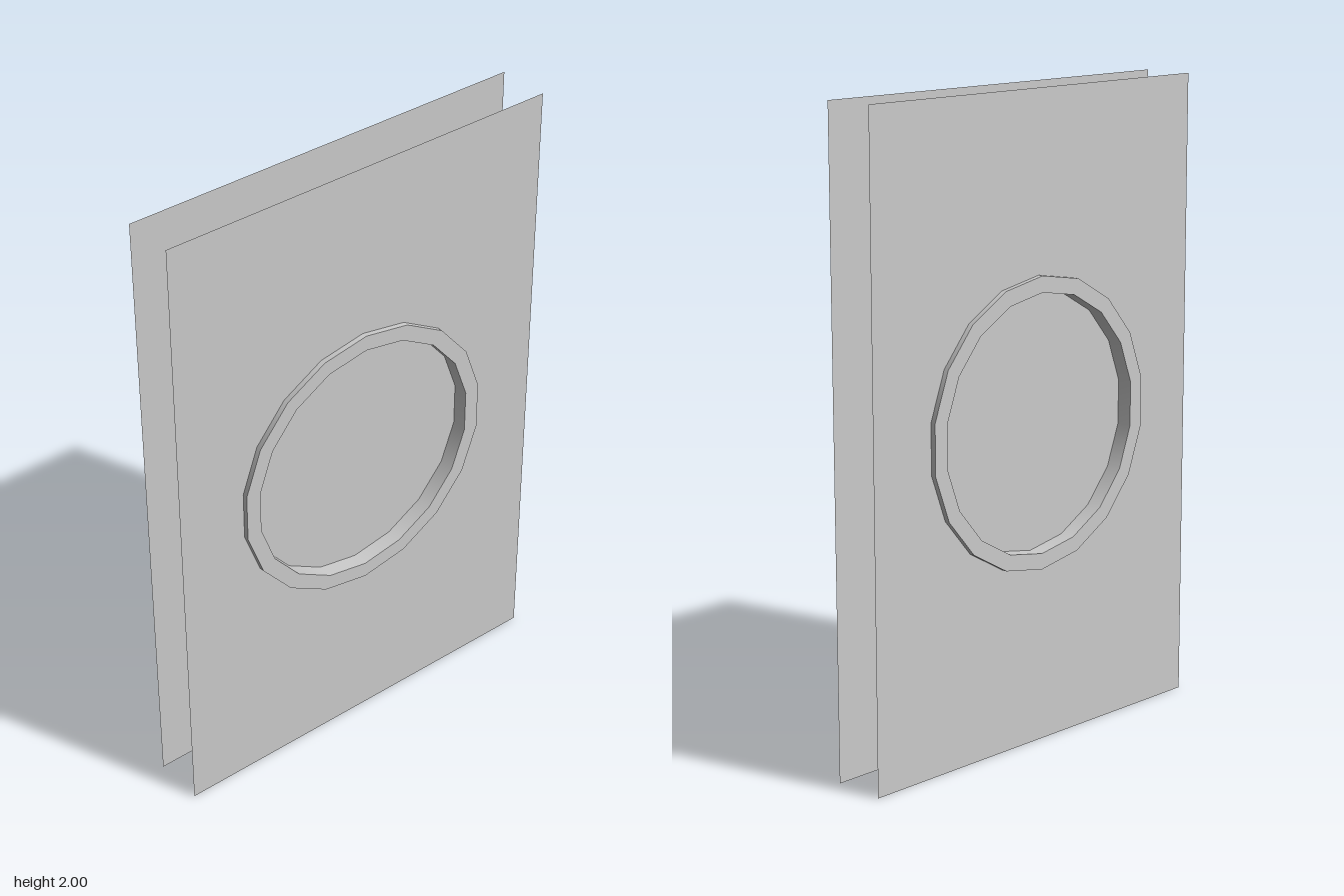
import * as THREE from 'three';
import { toCreasedNormals } from 'three/addons/utils/BufferGeometryUtils.js';

const SIDES = 18, OUTER = 0.45, INNER = 0.4;
const RING_DEPTH = 0.2, PANEL_Z = 0.083, PANE_Z = 0.05;

// Regular polygon outline with a corner at the top
function circlePoints(radius) {
  return Array.from({ length: SIDES }, (_, i) => {
    const a = Math.PI / 2 + (i / SIDES) * Math.PI * 2;
    return new THREE.Vector2(radius * Math.cos(a), radius * Math.sin(a));
  });
}

function withHole(points, holeRadius) {
  const shape = new THREE.Shape(points);
  shape.holes.push(new THREE.Path(circlePoints(holeRadius)));
  return shape;
}

export function createModel() {
  const group = new THREE.Group();
  const solid = new THREE.MeshStandardMaterial({ color: 0xcccccc });
  const sheet = new THREE.MeshStandardMaterial({ color: 0xcccccc, side: THREE.DoubleSide });

  const add = (name, geometry, material, z) => {
    const mesh = new THREE.Mesh(geometry, material);
    mesh.name = name;
    mesh.position.set(0, 1, z);
    group.add(mesh);
    return mesh;
  };

  // Thin wall panels with a round opening, and the recessed window panes
  const w = 0.667, h = 1;
  const corners = [[-w, -h], [w, -h], [w, h], [-w, h]].map(([x, y]) => new THREE.Vector2(x, y));
  const panel = new THREE.ShapeGeometry(withHole(corners, OUTER));
  const pane = new THREE.ShapeGeometry(new THREE.Shape(circlePoints(INNER)));
  for (const [side, s] of [['front', 1], ['back', -1]]) {
    for (const [part, geometry, z] of [['Panel', panel, PANEL_Z], ['Pane', pane, PANE_Z]]) {
      const mesh = add(side + part, geometry, sheet, s * z);
      if (s < 0) mesh.rotation.y = Math.PI;
    }
  }

  // Window frame passing through both panels
  const frame = new THREE.ExtrudeGeometry(withHole(circlePoints(OUTER), INNER), {
    depth: RING_DEPTH, bevelEnabled: false,
  });
  add('windowFrame', toCreasedNormals(frame, Math.PI / 5), solid, -RING_DEPTH / 2);

  return group;
}
